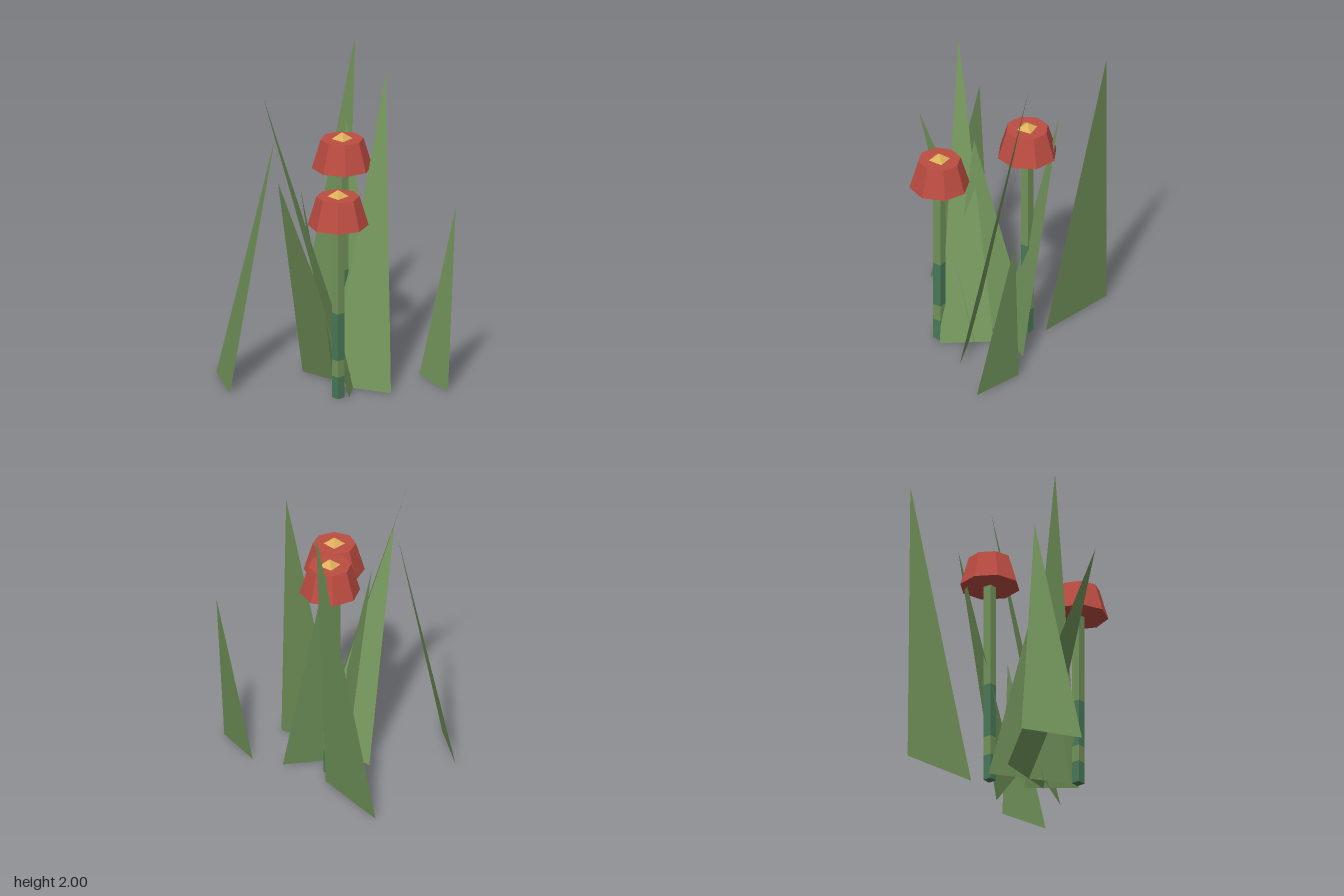
import * as THREE from 'three';

const flat = (name, color, side = THREE.FrontSide) =>
  new THREE.MeshStandardMaterial({ name, color, side, flatShading: true });

export function createModel() {
  const grassGreen = flat('grassGreen', 0x73955c, THREE.DoubleSide);
  const stemGreen = flat('stemGreen', 0x73955c);
  const stemTeal = flat('stemTeal', 0x4a7a58);
  const petalRed = flat('petalRed', 0xbc4c41);
  const pollenYellow = flat('pollenYellow', 0xddb05a);

  const model = new THREE.Group();
  model.name = 'flowerPatch';

  const add = (parent, name, geometry, material, y) => {
    const mesh = new THREE.Mesh(geometry, material);
    mesh.name = name;
    mesh.position.y = y;
    parent.add(mesh);
  };

  // Grass blades: two base corners (x, z) and a tip (x, y, z)
  const blades = [
    [[-0.61, -0.21], [-0.405, -0.55], [-0.235, 1.56, -0.21]],
    [[0.39, -0.68], [0.315, -0.15], [0.61, 2.0, -0.38]],
    [[0.468, 0.345], [0.395, 0.68], [0.587, 1.12, 0.545]],
    [[-0.05, 0.1], [0.11, 0.47], [0.385, 1.94, 0.132]],
    [[-0.13, 0.35], [0.13, 0.14], [-0.365, 1.88, -0.17]],
    [[0.375, 0.172], [0.07, -0.02], [0.37, 1.56, -0.21]],
    [[-0.01, -0.195], [0.04, 0.22], [-0.48, 1.425, 0.082]],
    [[0.165, -0.165], [-0.13, 0.27], [-0.163, 1.28, -0.053]],
  ];
  blades.forEach(([a, b, tip], i) => {
    const geometry = new THREE.BufferGeometry();
    geometry.setAttribute('position', new THREE.Float32BufferAttribute(
      [a[0], 0, a[1], b[0], 0, b[1], ...tip], 3));
    geometry.computeVertexNormals();
    add(model, `grassBlade${i + 1}`, geometry, grassGreen, 0);
  });

  // Flowers: banded square stem, eight-sided bell and a pyramid centre
  const flowers = [
    { x: -0.172, z: 0.295, height: 1.13, turn: 0.03 },
    { x: 0.22, z: -0.085, height: 1.31, turn: 0.15 },
  ];
  flowers.forEach(({ x, z, height, turn }, i) => {
    const flower = new THREE.Group();
    flower.name = `flower${i + 1}`;
    flower.position.set(x, 0, z);

    const bands = [0, 0.125, 0.22, 0.49, 1].map((t) => t * height);
    for (let k = 0; k < 4; k++) {
      const h = bands[k + 1] - bands[k];
      add(flower, `stemBand${k + 1}`, new THREE.BoxGeometry(0.055, h, 0.055),
        k % 2 ? stemGreen : stemTeal, bands[k] + h / 2);
    }

    const head = new THREE.Group();
    head.name = 'flowerHead';
    head.position.y = height;
    head.rotation.y = turn;
    add(head, 'petalBell', new THREE.CylinderGeometry(0.133, 0.188, 0.185, 8), petalRed, 0.0925);
    add(head, 'flowerCentre',
      new THREE.ConeGeometry(0.066, 0.042, 4, 1, false, Math.PI / 4), pollenYellow, 0.206);
    flower.add(head);
    model.add(flower);
  });

  return model;
}
